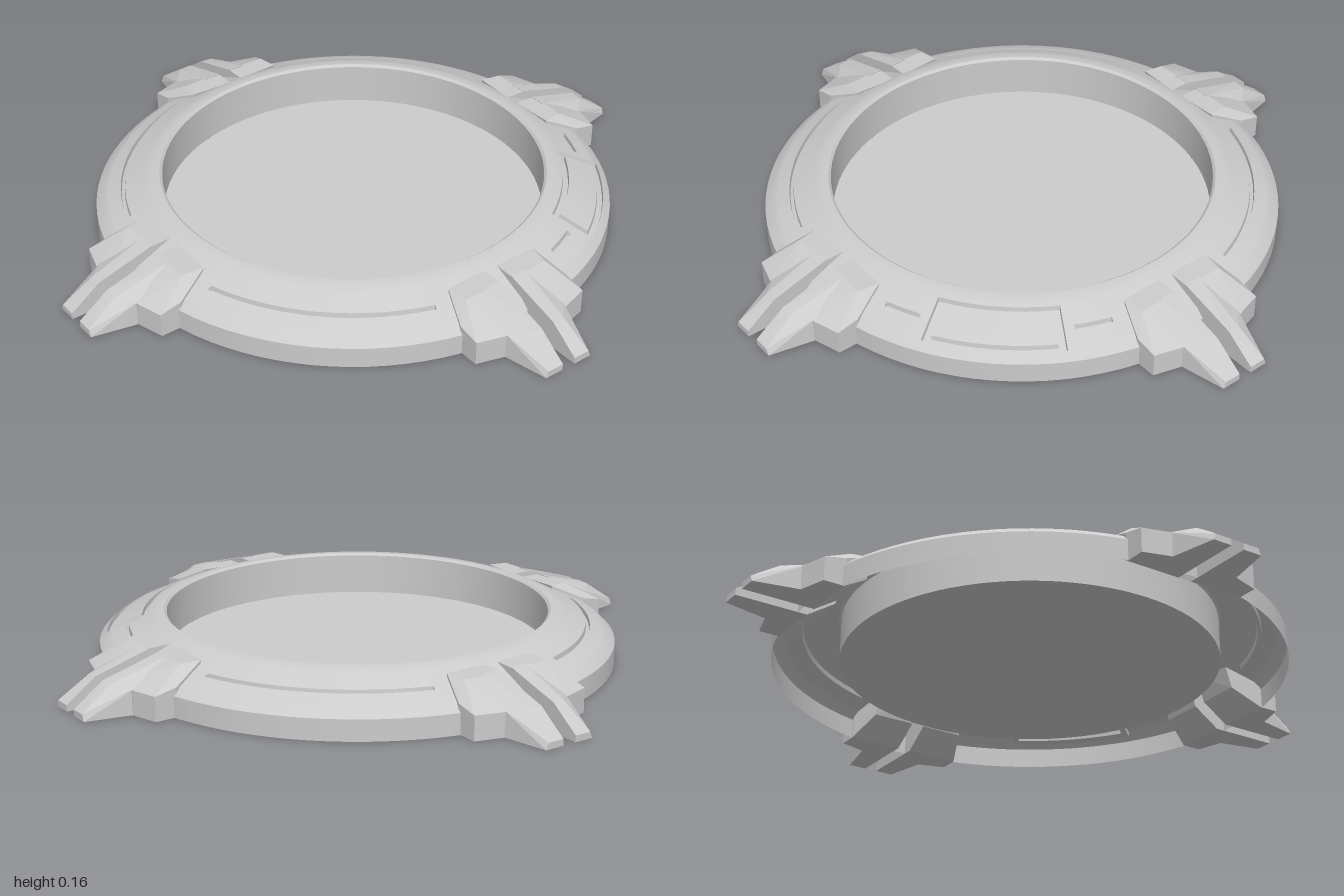
import * as THREE from 'three';
import { toCreasedNormals } from 'three/addons/utils/BufferGeometryUtils.js';
import { ConvexGeometry } from 'three/addons/geometries/ConvexGeometry.js';

const material = new THREE.MeshStandardMaterial({ color: 0xcccccc, side: THREE.DoubleSide });
const EPS = 0.001;

// Sloped top of the ring, radius -> height
const SLOPE = [[0.6, 0.157], [0.625, 0.155], [0.72, 0.113], [0.775, 0.088], [0.8, 0.065]];
function slopeY(r) {
  for (let i = 1; i < SLOPE.length; i++) {
    const [r0, y0] = SLOPE[i - 1], [r1, y1] = SLOPE[i];
    if (r <= r1) return y0 + (y1 - y0) * (r - r0) / (r1 - r0);
  }
  return SLOPE[SLOPE.length - 1][1];
}

// Engraved arcs: angle range in degrees, radius range
const slot = (a0, a1) => ({ a0, a1, r0: 0.709, r1: 0.721 });
const SLOTS = [slot(18, 27), slot(63, 72), slot(108, 162), slot(198, 252), slot(288, 342)];
const FRAME = { a0: 29.5, a1: 60.5, r0: 0.65, r1: 0.776 };
const PANEL = { a0: 31.2, a1: 58.8, r0: 0.668, r1: 0.758 };
const within = (c, a, r) => a > c.a0 && a < c.a1 && r > c.r0 && r < c.r1;
const engraved = (a, r) => SLOTS.some((c) => within(c, a, r)) || (within(FRAME, a, r) && !within(PANEL, a, r));

// Hollow ring: a polar grid with extra lines at every groove edge
function ringGeometry() {
  const cuts = [...SLOTS, FRAME, PANEL];
  const angles = new Set(), radii = new Set(SLOPE.map((p) => p[0]));
  for (let i = 0; i <= 96; i++) angles.add(i * 3.75);
  for (const c of cuts) {
    for (const a of [c.a0, c.a1]) angles.add(a - 0.06).add(a + 0.06);
    for (const r of [c.r0, c.r1]) radii.add(r - EPS).add(r + EPS);
  }
  const A = [...angles].sort((p, q) => p - q);
  const R = [...radii].sort((p, q) => q - p);
  const rows = R.length + 3;
  const position = [], index = [];
  A.forEach((a, i) => {
    const t = THREE.MathUtils.degToRad(a);
    const section = [[0.8, 0]];
    for (const r of R) section.push([r, slopeY(r) - (engraved(a, r) ? 0.014 : 0)]);
    section.push([0.592, 0.15], [0.592, 0.02]);
    section.forEach(([r, y], j) => {
      position.push(r * Math.cos(t), y, -r * Math.sin(t));
      if (i < A.length - 1 && j < rows - 1) {
        const p = i * rows + j, q = p + rows;
        index.push(p, q, q + 1, p, q + 1, p + 1);
      }
    });
  });
  const g = new THREE.BufferGeometry();
  g.setAttribute('position', new THREE.Float32BufferAttribute(position, 3));
  g.setIndex(index);
  return toCreasedNormals(g, 0.5);
}

// Clamp halves: corners as [sideways, up, outward]
const WING = [
  [0.022, 0.14, 0.655], [0.16, 0.14, 0.66], [0.022, 0.138, 0.73], [0.15, 0.138, 0.725],
  [0.165, 0.06, 0.68], [0.022, 0.06, 0.68], [0.2, 0.09, 0.765], [0.2, 0.075, 0.835],
  [0.2, 0, 0.835], [0.2, 0, 0.77], [0.115, 0.075, 0.86], [0.115, 0, 0.86],
  [0.022, 0.08, 0.865], [0.022, 0, 0.865], [0.022, 0, 0.77],
];
const PRONG = [
  [0.022, 0.14, 0.72], [0.075, 0.14, 0.72], [0.022, 0.088, 0.905], [0.062, 0.085, 0.905],
  [0.022, 0.02, 1], [0.075, 0.02, 1], [0.022, 0, 1], [0.083, 0, 1],
  [0.115, 0, 0.85], [0.112, 0.08, 0.85], [0.022, 0, 0.8],
];
const hull = (corners, side) =>
  new ConvexGeometry(corners.map(([s, y, r]) => new THREE.Vector3(s * side, y, r)));

export function createModel() {
  const model = new THREE.Group();
  const add = (parent, name, geometry) => {
    const mesh = new THREE.Mesh(geometry, material);
    mesh.name = name;
    parent.add(mesh);
    return mesh;
  };

  add(model, 'ring', ringGeometry());

  // Thin floor inside the ring
  const floor = add(model, 'floor', new THREE.CircleGeometry(0.592, 96));
  floor.rotation.x = -Math.PI / 2;
  floor.position.y = 0.02;

  // Four split clamps around the rim
  for (let k = 0; k < 4; k++) {
    const clamp = new THREE.Group();
    clamp.name = 'clamp' + (k + 1);
    clamp.rotation.y = k * Math.PI / 2;
    for (const side of [1, -1]) {
      add(clamp, 'clampWing', hull(WING, side));
      add(clamp, 'clampProng', hull(PRONG, side));
    }
    model.add(clamp);
  }
  return model;
}
